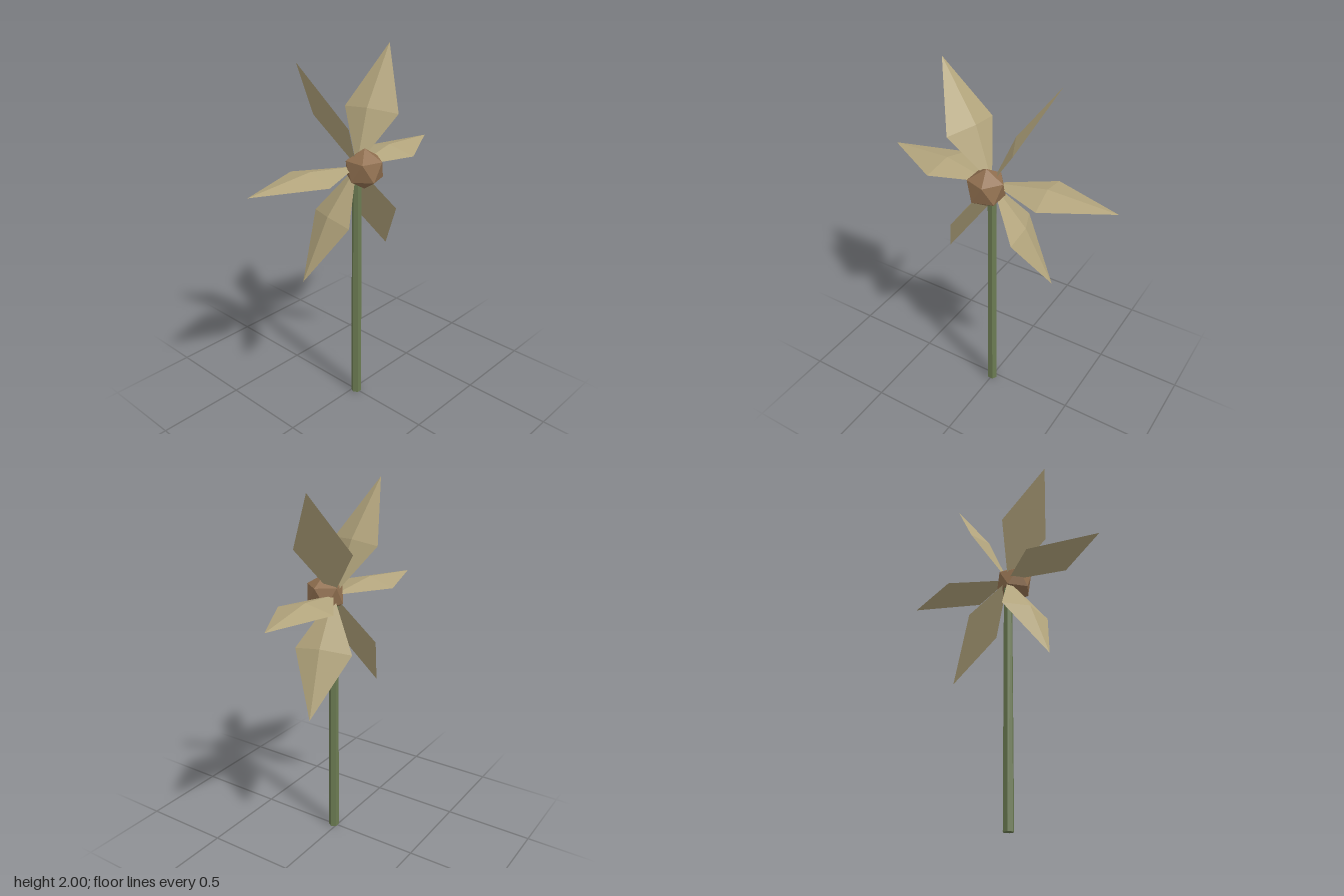
import * as THREE from 'three';

const HUB_Y = 1.421;

// One petal: a flat kite with a raised ridge on its upper side.
// angle is its elevation from horizontal; side is 1 for +x, -1 for the mirror.
function petalGeometry(angle, side) {
  const c = Math.cos(angle), s = Math.sin(angle);
  const twist = -0.03 * Math.sign(angle);
  // r runs along the petal, h is the offset along its upper normal
  const point = (r, h, z) => [side * (r * c - h * s), HUB_Y + r * s + h * c, z];
  const base = point(0, 0, 0.02);
  const front = point(0.32, twist, 0.14);
  const tip = point(0.668, 0, -0.055);
  const back = point(0.285, -twist, -0.173);
  const ridge = point(0.3, 0.04, -0.015);
  const faces = [
    [base, front, ridge], [front, tip, ridge], [tip, back, ridge], [back, base, ridge],
    [base, tip, front], [base, back, tip],
  ];
  const positions = faces.flatMap(([a, b, d]) => (side > 0 ? [a, b, d] : [a, d, b])).flat();
  const geometry = new THREE.BufferGeometry();
  geometry.setAttribute('position', new THREE.Float32BufferAttribute(positions, 3));
  geometry.computeVertexNormals();
  return geometry;
}

export function createModel() {
  const group = new THREE.Group();
  group.name = 'flower';

  const material = (name, color) => {
    const m = new THREE.MeshStandardMaterial({ color, flatShading: true });
    m.name = name;
    return m;
  };
  const stemGreen = material('stemGreen', 0x6b7b52);
  const hubBrown = material('hubBrown', 0x917050);
  const petalTan = material('petalTan', 0xb3a57d);

  const add = (name, geometry, mat) => {
    const mesh = new THREE.Mesh(geometry, mat);
    mesh.name = name;
    group.add(mesh);
    return mesh;
  };

  // Six-sided tapering stem, corners on the x axis
  const stem = add('stem', new THREE.CylinderGeometry(0.025, 0.03, 1.42, 6).rotateY(Math.PI / 6), stemGreen);
  stem.position.set(0, 0.71, 0.021);

  // Flower centre, turned so one corner points straight up
  const hub = add('flowerCentre',
    new THREE.IcosahedronGeometry(0.11, 0).rotateZ(-Math.atan(2 / (1 + Math.sqrt(5)))), hubBrown);
  hub.position.set(0, HUB_Y, 0.075);

  // Three petals on each side
  for (const side of [1, -1]) {
    const label = side > 0 ? 'left' : 'right';
    for (const [height, angle] of [['Upper', Math.PI / 3], ['Middle', 0], ['Lower', -Math.PI / 3]]) {
      add(`${label}${height}Petal`, petalGeometry(angle, side), petalTan);
    }
  }

  return group;
}
